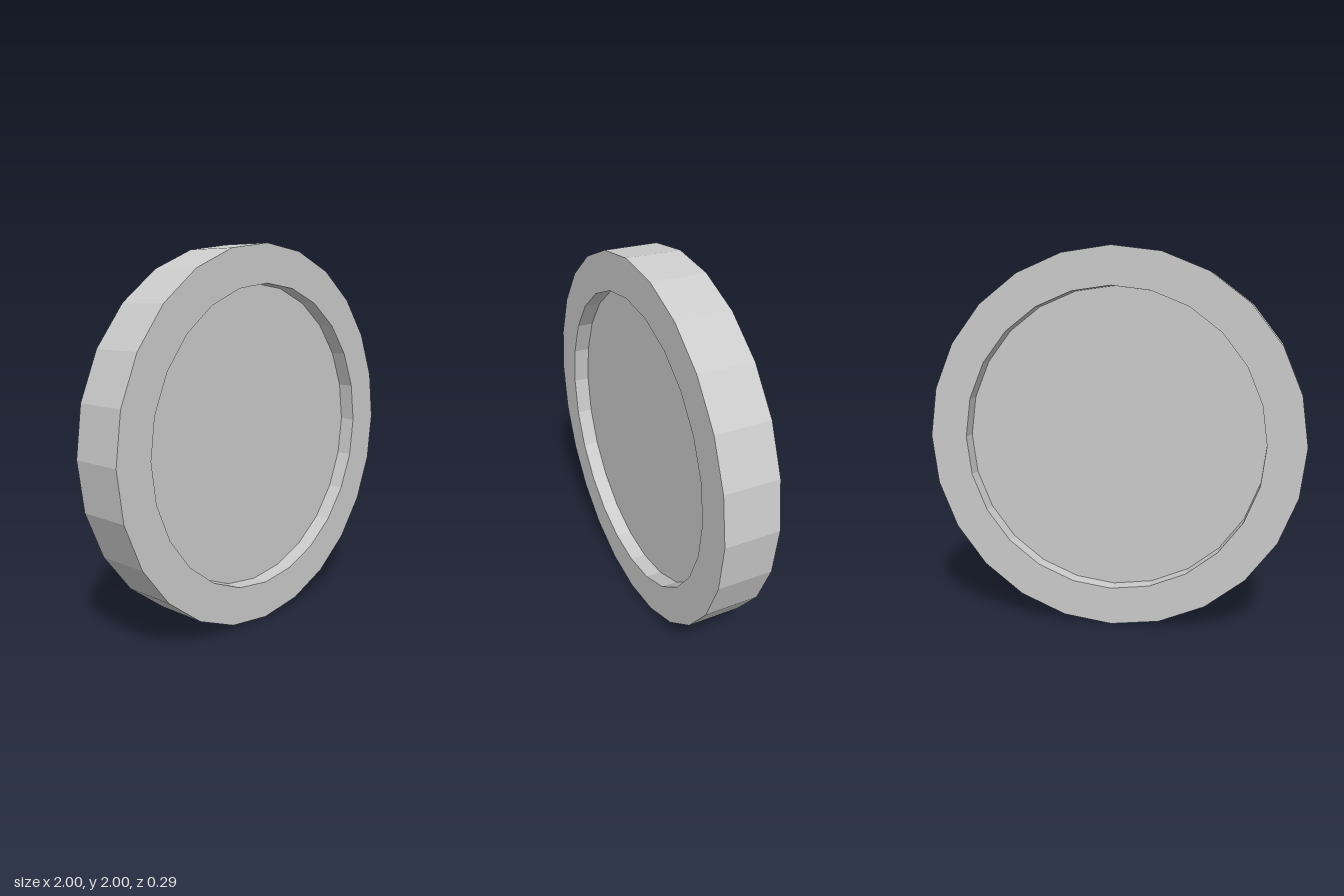
import * as THREE from 'three';

const SIDES = 24;
const OUTER = 1, INNER = 0.8;   // rim radii
const HALF = 0.143;             // half thickness of the rim
const FLOOR = 0.058;            // half thickness of the recessed panel

export function createModel() {
  const group = new THREE.Group();
  const material = new THREE.MeshStandardMaterial({ color: 0xcccccc, flatShading: true });

  const disc = new THREE.Group();
  disc.name = 'disc';
  disc.position.y = OUTER;
  group.add(disc);

  // Raised rim: outer wall, both flat faces and both inner recess walls
  const profile = [
    [INNER, -FLOOR], [INNER, -HALF], [OUTER, -HALF],
    [OUTER, HALF], [INNER, HALF], [INNER, FLOOR],
  ].map(([r, y]) => new THREE.Vector2(r, y));
  const rim = new THREE.Mesh(new THREE.LatheGeometry(profile, SIDES).rotateX(Math.PI / 2), material);
  rim.name = 'rim';
  disc.add(rim);

  // Recessed panel, one face on each side
  for (const [name, side] of [['frontPanel', 1], ['backPanel', -1]]) {
    const panel = new THREE.Mesh(new THREE.CircleGeometry(INNER, SIDES), material);
    panel.name = name;
    panel.position.z = side * FLOOR;
    if (side < 0) panel.rotation.y = Math.PI;
    disc.add(panel);
  }

  return group;
}
